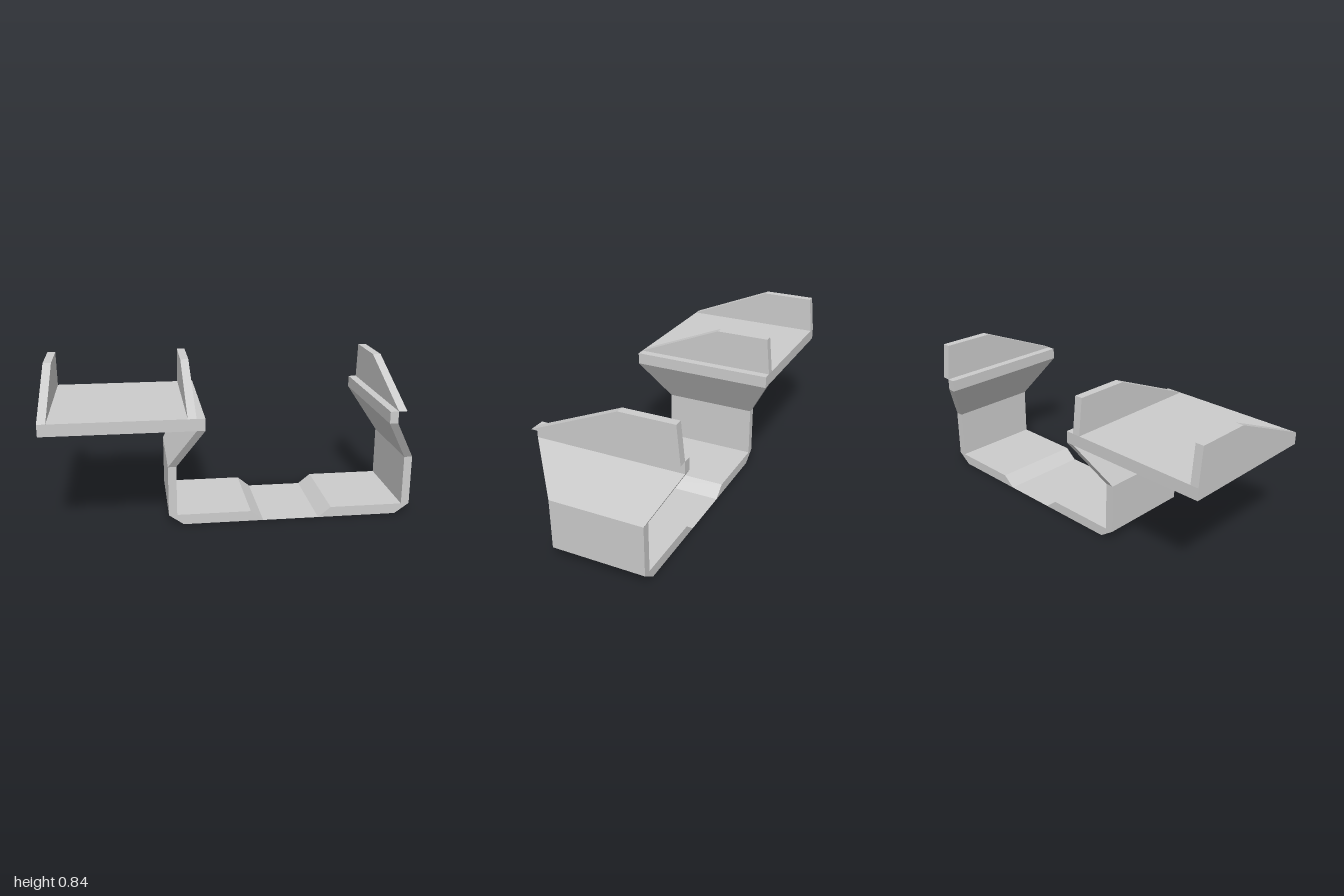
import * as THREE from 'three';

const material = new THREE.MeshStandardMaterial({ color: 0xcccccc, flatShading: true, side: THREE.DoubleSide });

const NARROW = 0.26, WIDE = 0.4;          // half depths of the channel and the rails
const FLOOR = 0.057, BEND = 0.335, SHELF = 0.575, DECK = 0.64, TOP = 0.842;
const mirrorX = x => 0.65 - x;            // the channel is symmetric about x = 0.325

function part(name, geometry) {
  const mesh = new THREE.Mesh(geometry, material);
  mesh.name = name;
  return mesh;
}

// Box given by its limits
function slab(x0, x1, y0, y1, halfZ) {
  return new THREE.BoxGeometry(x1 - x0, y1 - y0, 2 * halfZ).translate((x0 + x1) / 2, (y0 + y1) / 2, 0);
}

// Solid through rectangular sections [y, x0, x1, halfZ], listed from the bottom up
function loft(sections) {
  const rings = sections.map(([y, x0, x1, h]) => [[x0, y, h], [x1, y, h], [x1, y, -h], [x0, y, -h]]);
  const positions = [];
  const quad = (a, b, c, d) => positions.push(...a, ...b, ...c, ...a, ...c, ...d);
  for (let k = 0; k + 1 < rings.length; k++) {
    for (let i = 0; i < 4; i++) {
      const j = (i + 1) % 4;
      quad(rings[k][i], rings[k][j], rings[k + 1][j], rings[k + 1][i]);
    }
  }
  const [a, b, c, d] = rings[0];
  quad(d, c, b, a);
  quad(...rings[rings.length - 1]);
  const geometry = new THREE.BufferGeometry();
  geometry.setAttribute('position', new THREE.Float32BufferAttribute(positions, 3));
  geometry.computeVertexNormals();
  return geometry;
}

// Flat outline extruded to a given depth, centred on its own axis
function extrude(points, depth) {
  const shape = new THREE.Shape(points.map(p => new THREE.Vector2(...p)));
  return new THREE.ExtrudeGeometry(shape, { depth, bevelEnabled: false }).translate(0, 0, -depth / 2);
}

export function createModel() {
  const model = new THREE.Group();
  model.name = 'bracket';

  // Channel halves: bevelled floor block, upright wall and flared wall
  const floorOutline = [[-0.35, FLOOR], [-0.27, 0], [0.17, 0], [0.1, FLOOR]];
  const wallSections = [
    [FLOOR, -0.35, -0.305, NARROW],
    [BEND, -0.35, -0.305, NARROW],
    [SHELF, -0.205, -0.16, WIDE],
  ];
  const mirroredFloor = floorOutline.map(([x, y]) => [mirrorX(x), y]);
  const mirroredWall = wallSections.map(([y, x0, x1, h]) => [y, mirrorX(x1), mirrorX(x0), h]);
  model.add(
    part('rightFloor', extrude(floorOutline, 2 * NARROW)),
    part('leftFloor', extrude(mirroredFloor, 2 * NARROW)),
    part('rightWall', loft(wallSections)),
    part('leftWall', loft(mirroredWall)),
  );

  // Thin sheet joining the two floor blocks
  model.add(part('floorSheet', new THREE.PlaneGeometry(0.31, 2 * NARROW).rotateX(-Math.PI / 2).translate(0.325, 0, 0)));

  // Wide deck on one side, narrow lip on the other
  model.add(
    part('deck', slab(-1, -0.16, SHELF, DECK, WIDE)),
    part('lip', slab(0.81, 0.855, SHELF, DECK, WIDE)),
  );

  // Sloping side fins, drawn in (-z, y) and turned to face sideways
  const finOutline = [[-0.4, DECK], [0.4, DECK], [0.38, TOP], [0.087, TOP]];
  const finNames = ['outerFin', 'innerFin', 'leftFin'];
  [-0.9775, -0.2275, 0.8775].forEach((x, i) => {
    model.add(part(finNames[i], extrude(finOutline, 0.045).rotateY(Math.PI / 2).translate(x, 0, 0)));
  });

  return model;
}
